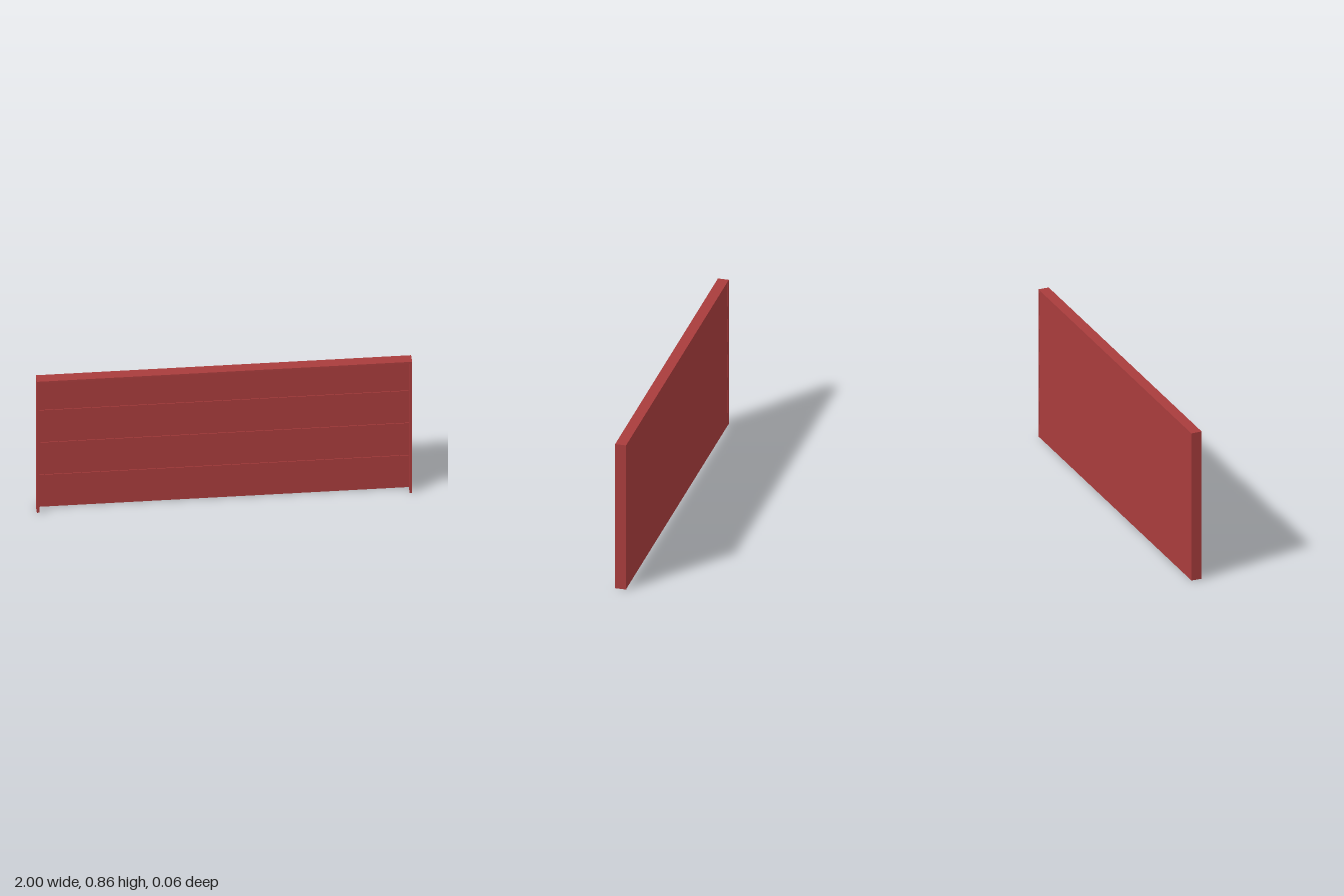
import * as THREE from 'three';

const W = 2, H = 0.86, D = 0.06, T = 0.013, SLATS = 4;

export function createModel() {
  const group = new THREE.Group();
  const red = new THREE.MeshStandardMaterial({ color: 0xa83c3c, flatShading: true });

  const add = (name, geometry, x, y, z) => {
    const mesh = new THREE.Mesh(geometry, red);
    mesh.name = name;
    mesh.position.set(x, y, z);
    group.add(mesh);
  };

  // Frame: two side jambs and a header, open at the bottom
  for (const side of [1, -1]) {
    add(side > 0 ? 'leftJamb' : 'rightJamb',
      new THREE.BoxGeometry(T, H, D), side * (W - T) / 2, H / 2, 0);
  }
  add('header', new THREE.BoxGeometry(W - 2 * T, T, D), 0, H - T / 2, 0);

  // Thin panel of lapped boards near the back, each leaning slightly inward at the top
  const slatHeight = (H - T) / SLATS;
  const width = W - 2 * T;
  const profile = new THREE.Shape([
    new THREE.Vector2(0.029, 0),
    new THREE.Vector2(0.025, slatHeight),
    new THREE.Vector2(0.019, slatHeight),
    new THREE.Vector2(0.023, 0),
  ]);
  const board = new THREE.ExtrudeGeometry(profile, { depth: width, bevelEnabled: false });
  board.translate(0, 0, -width / 2);
  board.rotateY(Math.PI / 2); // profile x becomes -z, extrusion runs along x
  for (let i = 0; i < SLATS; i++) add(`panelBoard${i + 1}`, board, 0, i * slatHeight, 0);

  return group;
}
